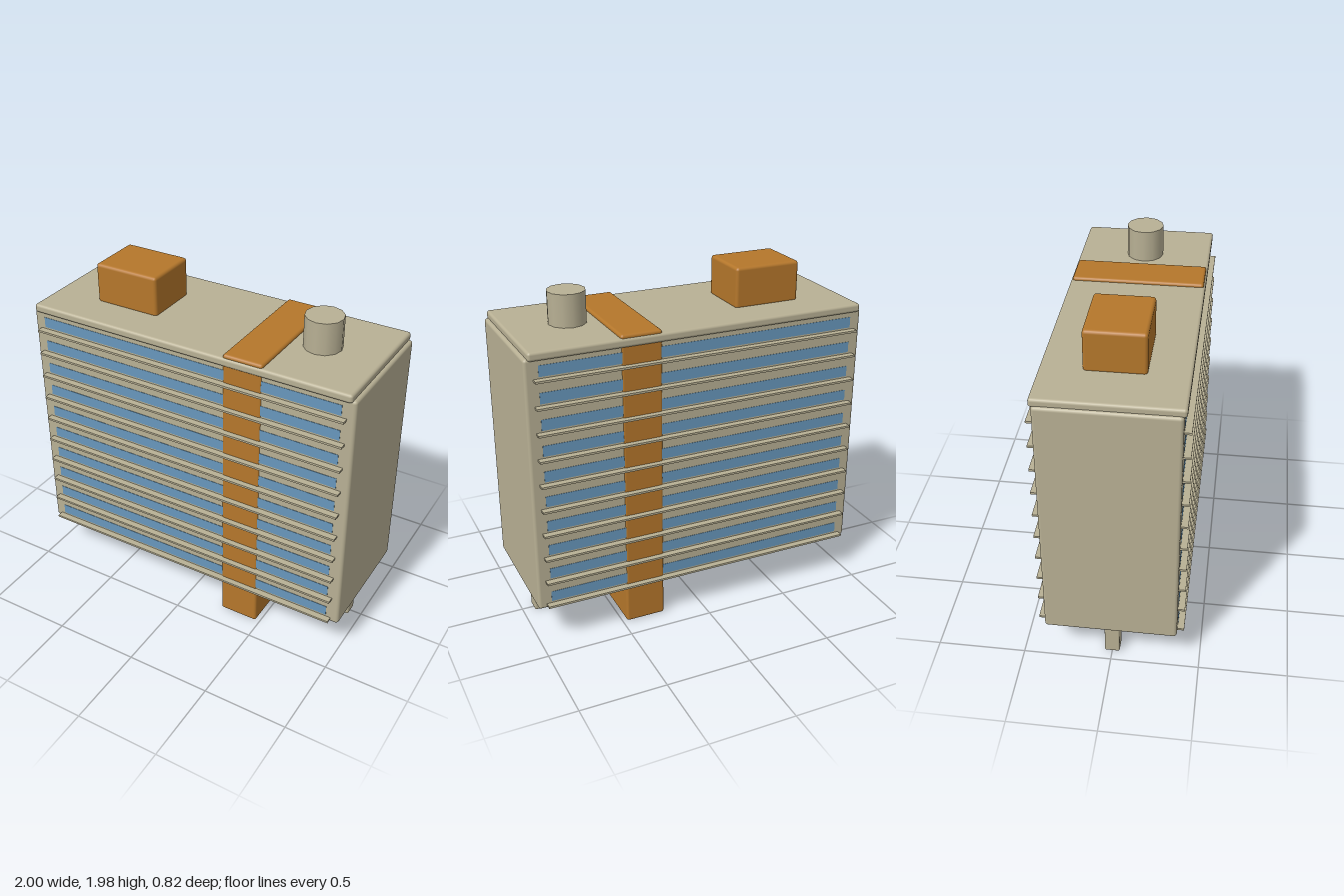
import * as THREE from 'three';
import { RoundedBoxGeometry } from 'three/addons/geometries/RoundedBoxGeometry.js';

export function createModel() {
  const group = new THREE.Group();
  group.name = 'apartmentBlock';
  const material = (name, color) => {
    const m = new THREE.MeshStandardMaterial({ color });
    m.name = name;
    return m;
  };
  const concrete = material('concrete', 0xb8b094);
  const ochre = material('ochre', 0xb5772b);
  const glass = material('glass', 0x6897bc);

  const add = (name, geometry, mat, x, y, z = 0) => {
    const mesh = new THREE.Mesh(geometry, mat);
    mesh.name = name;
    mesh.position.set(x, y, z);
    group.add(mesh);
  };
  // Softly rounded box given by its x and y limits and its depth
  const block = (name, mat, x0, x1, y0, y1, depth, radius) =>
    add(name, new RoundedBoxGeometry(x1 - x0, y1 - y0, depth, 2, radius), mat, (x0 + x1) / 2, (y0 + y1) / 2);

  // Main volume, roof slab and the stair core running through it
  block('body', concrete, -1, 1, 0.225, 1.712, 0.742, 0.018);
  block('roofSlab', concrete, -0.985, 0.98, 1.7, 1.75, 0.772, 0.016);
  block('stairCore', ochre, 0.24, 0.475, 0, 1.768, 0.752, 0.015);

  // Rooftop plant room and water tank
  block('plantRoom', ochre, -0.7, -0.304, 1.74, 1.977, 0.328, 0.018);
  add('waterTank', new THREE.CylinderGeometry(0.107, 0.107, 0.19, 12), concrete, 0.637, 1.838);

  // Stilts under the body
  for (const x of [-0.895, -0.503, -0.003, 0.497, 0.889]) {
    block('stilt', concrete, x - 0.043, x + 0.043, 0, 0.24, 0.086, 0.01);
  }

  // Ribbon windows and thin balcony slabs on both long sides
  const windowGeometry = new THREE.BoxGeometry(1.856, 0.062, 0.006);
  const slabGeometry = new THREE.BoxGeometry(1.912, 0.012, 0.05);
  for (let floor = 0; floor < 10; floor++) {
    const y = 0.25 + floor * 0.1495;
    for (const side of [1, -1]) {
      add('ribbonWindow', windowGeometry, glass, -0.004, y + 0.047, side * 0.37);
      add('balconySlab', slabGeometry, concrete, -0.003, y, side * 0.384);
    }
  }
  return group;
}
